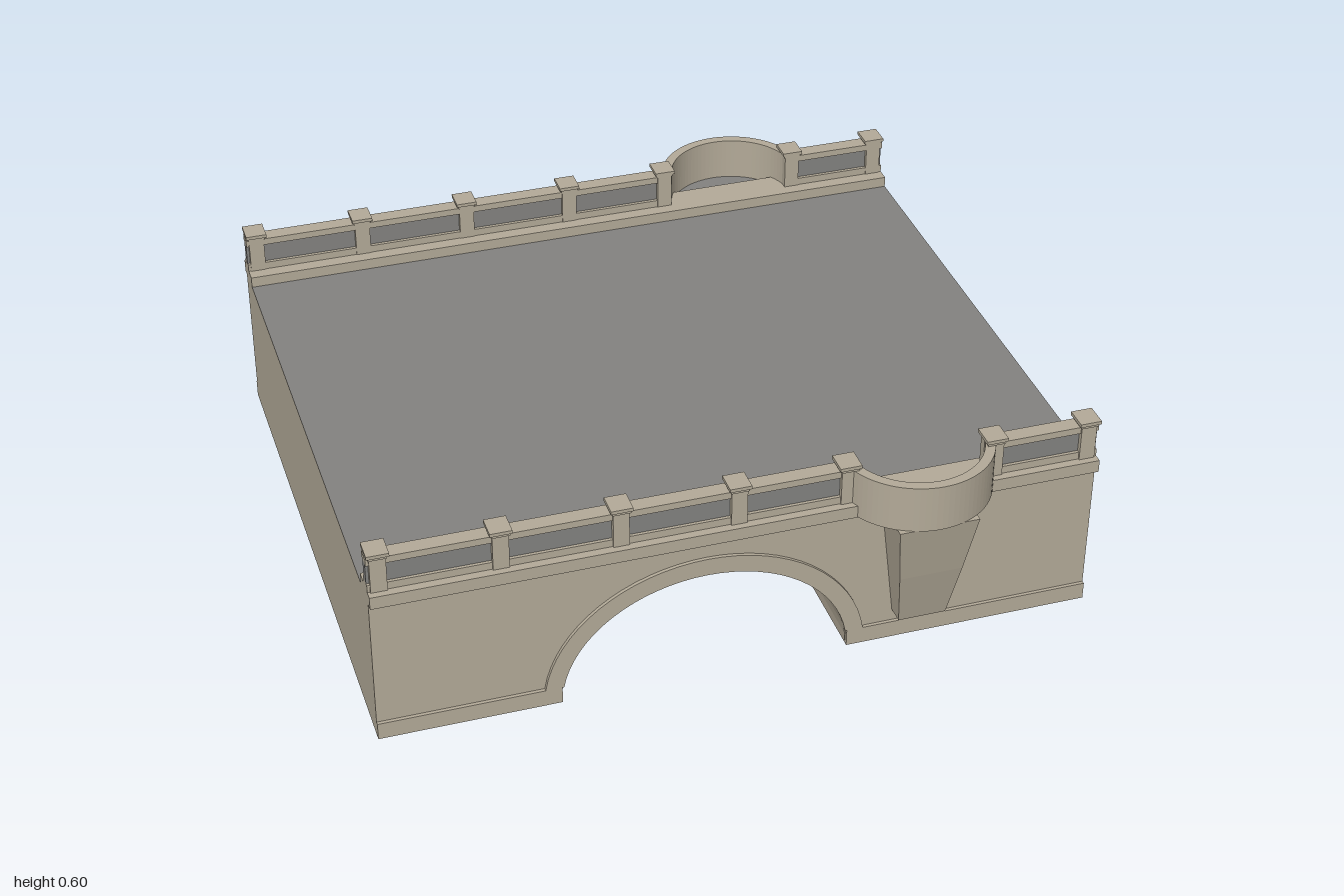
import * as THREE from 'three';

const stone = new THREE.MeshStandardMaterial({ name: 'stone', color: 0xb3aa98, side: THREE.DoubleSide });
const slate = new THREE.MeshStandardMaterial({ name: 'slateGrey', color: 0x838280, side: THREE.DoubleSide });

const DECK = 0.445, WALL = 0.825, RELIEF = 0.01, PLINTH = 0.05;
const ARCH = { x: -0.1, rx: 0.4, ry: 0.333, ringX: 0.45, ringY: 0.385 };
const BAY = { x: 0.5, z: 0.75, r: 0.215, inner: 0.187 };

function add(parent, name, geometry, material = stone) {
  const mesh = new THREE.Mesh(geometry, material);
  mesh.name = name;
  parent.add(mesh);
  return mesh;
}

// Box given by its limits on each axis
function box(parent, name, x0, x1, y0, y1, z0, z1, material) {
  const g = new THREE.BoxGeometry(x1 - x0, y1 - y0, z1 - z0);
  g.translate((x0 + x1) / 2, (y0 + y1) / 2, (z0 + z1) / 2);
  return add(parent, name, g, material);
}

// Points along an elliptical arch from right to left, starting at height y0
function archPoints(rx, ry, y0, n = 32) {
  const t0 = Math.asin(y0 / ry), pts = [];
  for (let i = 0; i <= n; i++) {
    const t = t0 + (Math.PI - 2 * t0) * i / n;
    pts.push(new THREE.Vector2(ARCH.x + rx * Math.cos(t), ry * Math.sin(t)));
  }
  return pts;
}

// Plan shape (x, z) extruded downward from height top
function planSlab(shape, top, depth) {
  const g = new THREE.ExtrudeGeometry(shape, { depth, bevelEnabled: false, curveSegments: 18 });
  return g.rotateX(Math.PI / 2).translate(0, top, 0);
}

function baySegment(radius) {
  const a = Math.asin(0.05 / radius);
  return new THREE.Shape().absarc(BAY.x, BAY.z, radius, a, Math.PI - a, false);
}

function buildBay(side) {
  // Curved parapet
  const a = Math.asin(0.05 / BAY.r), b = Math.asin(0.05 / BAY.inner);
  const ring = new THREE.Shape();
  ring.absarc(BAY.x, BAY.z, BAY.r, a, Math.PI - a, false);
  ring.absarc(BAY.x, BAY.z, BAY.inner, Math.PI - b, b, true);
  add(side, 'bayParapet', planSlab(ring, 0.58, 0.138));
  // Floor of the bay
  add(side, 'bayBase', planSlab(baySegment(BAY.r - 0.002), 0.448, 0.006));
  add(side, 'bayFloor', planSlab(baySegment(BAY.inner), 0.453, 0.004), slate);
  // Tapered buttress: side profile (z, y) widened with height
  const profile = new THREE.Shape([[0.81, 0.085], [0.875, 0.085], [0.917, 0.26], [0.954, 0.443], [0.81, 0.443]]
    .map(([z, y]) => new THREE.Vector2(z, y)));
  const g = new THREE.ExtrudeGeometry(profile, { depth: 1, bevelEnabled: false });
  g.translate(0, 0, -0.5).rotateY(-Math.PI / 2);
  const p = g.attributes.position;
  for (let i = 0; i < p.count; i++) {
    const width = 0.135 + 0.09 * (p.getY(i) - 0.085) / 0.358;
    p.setX(i, BAY.x + p.getX(i) * width);
  }
  g.computeVertexNormals();
  add(side, 'bayButtress', g);
}

function buildParapet(side) {
  box(side, 'cornice', -1, 1, 0.44, 0.477, 0.74, 0.848);
  // Rails and recessed panels, interrupted by the bay
  for (const [x0, x1] of [[-1, 0.295], [0.7, 1]]) {
    box(side, 'lowerRail', x0, x1, 0.477, 0.499, 0.779, 0.824);
    box(side, 'upperRail', x0, x1, 0.56, 0.58, 0.779, 0.824);
    box(side, 'panel', x0, x1, 0.499, 0.56, 0.789, 0.815, slate);
  }
  // Posts with stepped caps
  for (const x of [-0.97, -0.652, -0.333, -0.013, 0.29, 0.702, 0.97]) {
    box(side, 'post', x - 0.022, x + 0.022, 0.477, 0.583, 0.777, 0.829);
    box(side, 'postCapLower', x - 0.025, x + 0.025, 0.58, 0.588, 0.775, 0.833);
    box(side, 'postCap', x - 0.03, x + 0.03, 0.588, 0.598, 0.771, 0.837);
  }
}

function buildSide() {
  const side = new THREE.Group();
  // Spandrel wall cut by the arch
  const wall = new THREE.Shape([
    new THREE.Vector2(-1, 0), ...archPoints(ARCH.rx, ARCH.ry, 0).reverse(),
    new THREE.Vector2(1, 0), new THREE.Vector2(1, DECK), new THREE.Vector2(-1, DECK)]);
  add(side, 'spandrelWall', new THREE.ShapeGeometry(wall).translate(0, 0, WALL));
  // Raised arch ring
  const ring = new THREE.Shape([...archPoints(ARCH.ringX, ARCH.ringY, PLINTH),
    ...archPoints(ARCH.rx, ARCH.ry, PLINTH).reverse()]);
  add(side, 'archRing', new THREE.ExtrudeGeometry(ring, { depth: RELIEF, bevelEnabled: false })
    .translate(0, 0, WALL));
  // Low plinth on each pier
  box(side, 'plinth', -1, ARCH.x - ARCH.rx, 0, PLINTH, WALL, WALL + RELIEF);
  box(side, 'plinth', ARCH.x + ARCH.rx, 1, 0, PLINTH, WALL, WALL + RELIEF);
  buildParapet(side);
  buildBay(side);
  return side;
}

export function createModel() {
  const bridge = new THREE.Group();
  bridge.name = 'bridge';

  // Road deck
  add(bridge, 'roadDeck', new THREE.PlaneGeometry(2, 2 * WALL).rotateX(-Math.PI / 2).translate(0, DECK, 0), slate);

  // End walls; the piers are hollow and open below
  for (const s of [-1, 1]) {
    add(bridge, 'endWall', new THREE.PlaneGeometry(2 * WALL, DECK).rotateY(s * Math.PI / 2)
      .translate(s, DECK / 2, 0));
  }

  // Barrel vault, faceted, facing down into the opening
  const pos = [], depth = WALL;
  const pts = archPoints(ARCH.rx, ARCH.ry, 0);
  for (let i = 0; i < pts.length - 1; i++) {
    const a = pts[i], b = pts[i + 1];
    pos.push(a.x, a.y, depth, a.x, a.y, -depth, b.x, b.y, -depth);
    pos.push(a.x, a.y, depth, b.x, b.y, -depth, b.x, b.y, depth);
  }
  const vault = new THREE.BufferGeometry();
  vault.setAttribute('position', new THREE.Float32BufferAttribute(pos, 3));
  vault.computeVertexNormals();
  add(bridge, 'barrelVault', vault);

  // Front side and its mirror at the back
  const front = buildSide();
  front.name = 'frontSide';
  const back = buildSide();
  back.name = 'backSide';
  back.scale.z = -1;
  bridge.add(front, back);
  return bridge;
}
